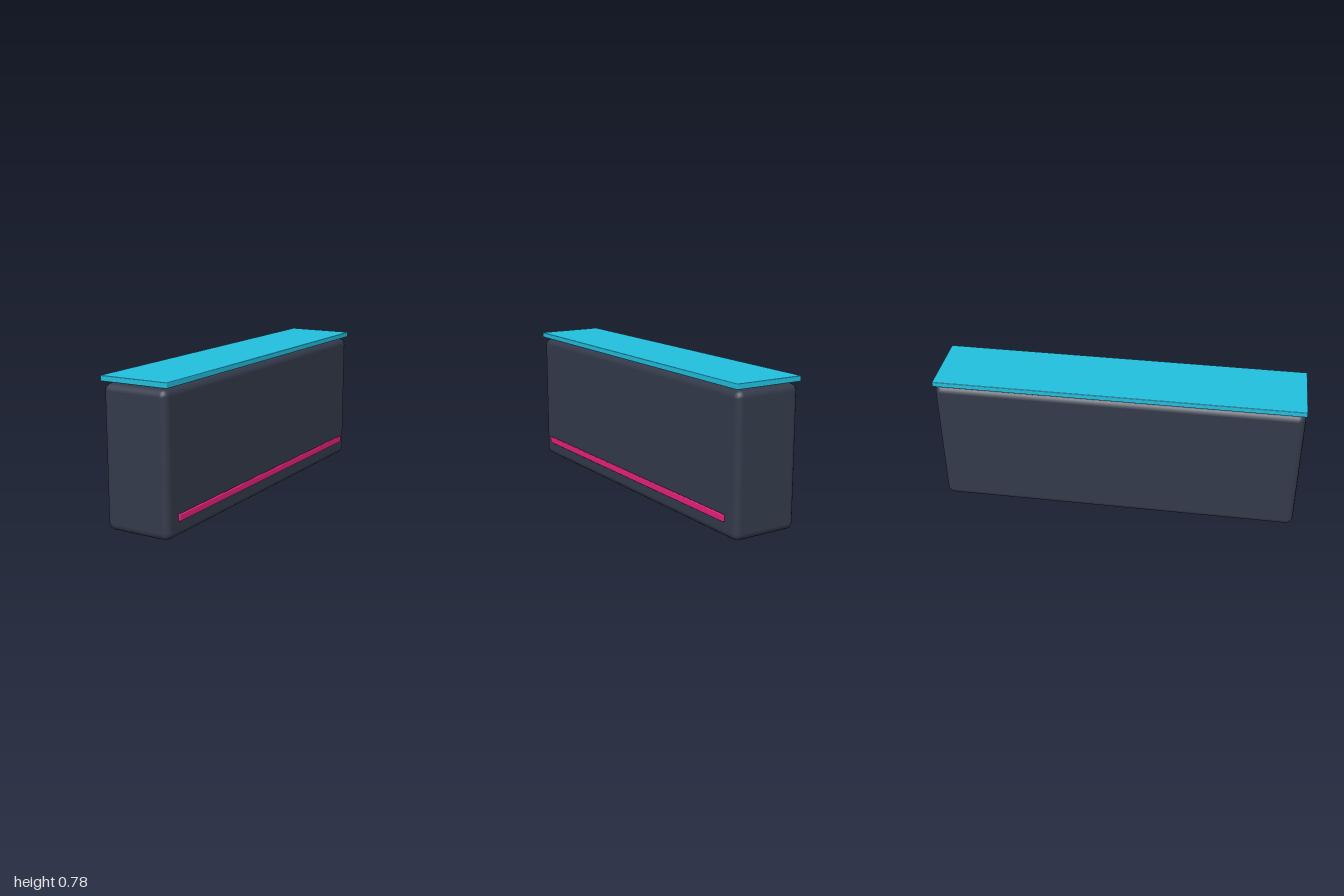
import * as THREE from 'three';
import { RoundedBoxGeometry } from 'three/addons/geometries/RoundedBoxGeometry.js';

// Rounded box given by its extents on each axis
function roundedPart(name, color, [x0, x1], [y0, y1], [z0, z1], segments, radius) {
  const geometry = new RoundedBoxGeometry(x1 - x0, y1 - y0, z1 - z0, segments, radius);
  const mesh = new THREE.Mesh(geometry, new THREE.MeshStandardMaterial({ color }));
  mesh.position.set((x0 + x1) / 2, (y0 + y1) / 2, (z0 + z1) / 2);
  mesh.name = name;
  return mesh;
}

export function createModel() {
  const group = new THREE.Group();
  group.name = 'counter';

  // Dark cabinet with softly rounded edges
  group.add(roundedPart('body', 0x333a4a, [-0.19, 0.181], [0, 0.744], [-0.998, 0.998], 2, 0.037));

  // Thin top floating just above the cabinet
  group.add(roundedPart('countertop', 0x22bfde, [-0.199, 0.19], [0.753, 0.782], [-1, 1], 2, 0.004));

  // Accent strip along the lower left side
  group.add(roundedPart('accentStrip', 0xe6217c, [0.184, 0.197], [0.086, 0.123], [-0.915, 0.915], 2, 0.005));

  return group;
}
